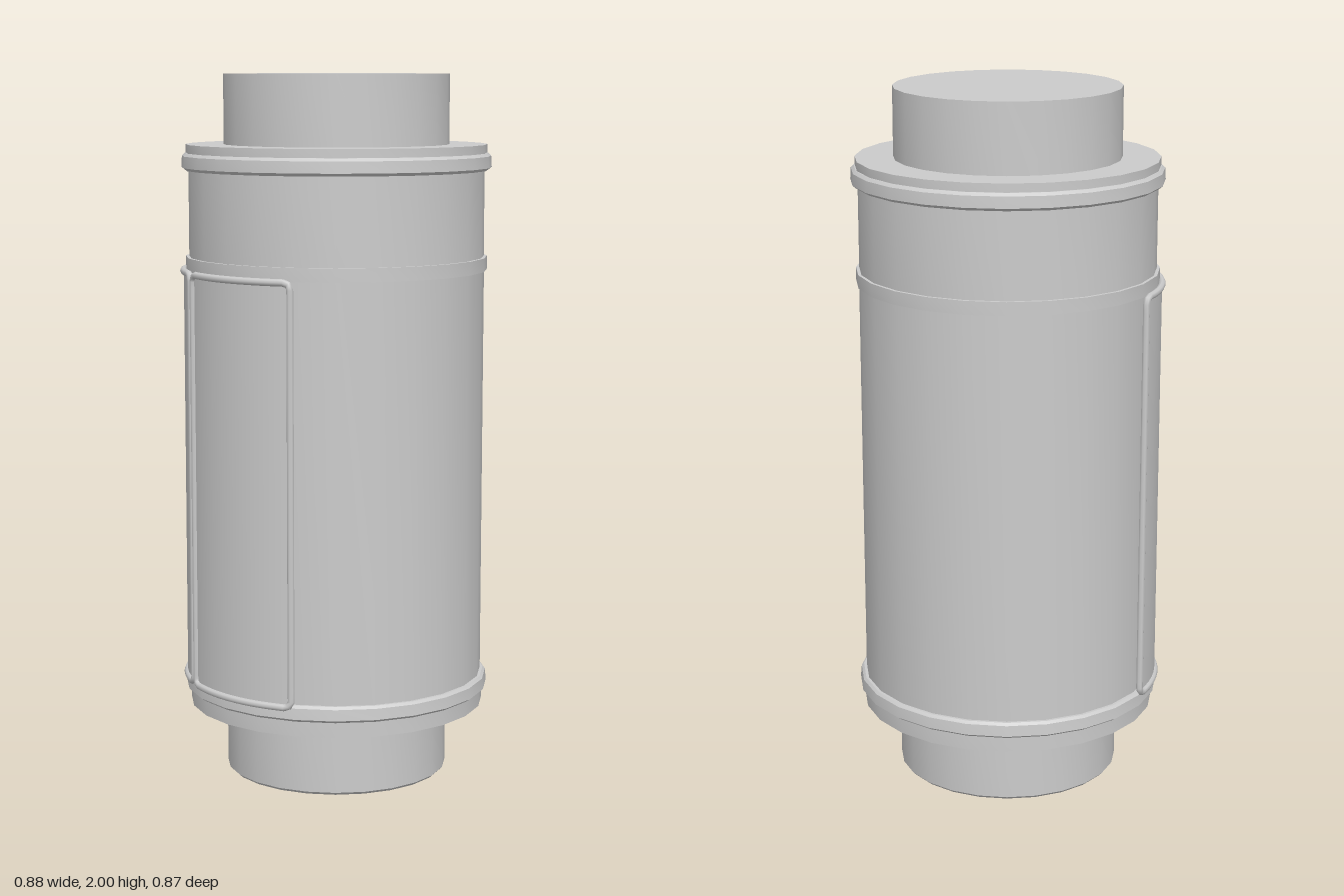
import * as THREE from 'three';
import { toCreasedNormals } from 'three/addons/utils/BufferGeometryUtils.js';

const SIDES = 24;
const HALF_STEP = Math.PI / SIDES;

export function createModel() {
  const model = new THREE.Group();
  const material = new THREE.MeshStandardMaterial({ color: 0xcccccc });
  const doubleSided = new THREE.MeshStandardMaterial({ color: 0xcccccc, side: THREE.DoubleSide });

  const add = (name, geometry, parent = model, mat = material) => {
    const mesh = new THREE.Mesh(geometry, mat);
    mesh.name = name;
    parent.add(mesh);
    return mesh;
  };

  // Turned part: [radius, height] pairs from bottom to top, closed onto the axis
  const turned = (name, profile) => {
    const points = [[0, profile[0][1]], ...profile, [0, profile[profile.length - 1][1]]]
      .map(([r, y]) => new THREE.Vector2(r, y));
    const lathe = new THREE.LatheGeometry(points, SIDES, HALF_STEP);
    return add(name, toCreasedNormals(lathe, 0.5));
  };

  // Necks at both ends
  turned('bottomNeck', [[0.31, 0], [0.318, 0.008], [0.318, 0.22]]);
  turned('topNeck', [[0.318, 1.78], [0.318, 2]]);

  // Main shell, joint band and upper shell
  turned('lowerShell', [[0.419, 0.24], [0.419, 1.46]]);
  turned('jointBand', [[0.427, 1.452], [0.427, 1.49]]);
  turned('upperShell', [[0.418, 1.48], [0.418, 1.75]]);

  // End caps with rolled rims
  turned('bottomCap', [[0.424, 0.2], [0.424, 0.25]]);
  turned('bottomRim', [[0.426, 0.243], [0.437, 0.251], [0.434, 0.282], [0.427, 0.289]]);
  turned('topRim', [[0.428, 1.732], [0.438, 1.74], [0.436, 1.772], [0.428, 1.78]]);
  turned('topCap', [[0.425, 1.775], [0.425, 1.804]]);

  // Pair of curved doors meeting on the right side
  const radius = 0.433, tube = 0.01, bottom = 0.282, top = 1.45;
  const inner = 0.024, outer = 0.895;
  const addDoor = (name, side) => {
    const door = new THREE.Group();
    door.name = name;
    model.add(door);

    const from = -Math.PI / 2 + (side > 0 ? inner : -outer);
    const span = outer - inner;
    add('doorPanel', new THREE.CylinderGeometry(radius, radius, top - bottom, 10, 1, true, from, span),
      door, doubleSided).position.y = (top + bottom) / 2;

    // Raised rim: rounded rectangle wrapped around the shell
    const w = span * radius, h = top - bottom, c = 0.02;
    const outline = new THREE.Shape();
    outline.moveTo(c, 0).lineTo(w - c, 0).quadraticCurveTo(w, 0, w, c)
      .lineTo(w, h - c).quadraticCurveTo(w, h, w - c, h)
      .lineTo(c, h).quadraticCurveTo(0, h, 0, h - c)
      .lineTo(0, c).quadraticCurveTo(0, 0, c, 0);
    const path = outline.getSpacedPoints(160).slice(0, -1).map((p) => {
      const a = from + p.x / radius;
      return new THREE.Vector3(radius * Math.sin(a), bottom + p.y, radius * Math.cos(a));
    });
    add('doorRim', new THREE.TubeGeometry(new THREE.CatmullRomCurve3(path, true), 200, tube, 8, true), door);
  };
  addDoor('frontDoor', 1);
  addDoor('backDoor', -1);

  model.position.x = 0.003;
  return model;
}
